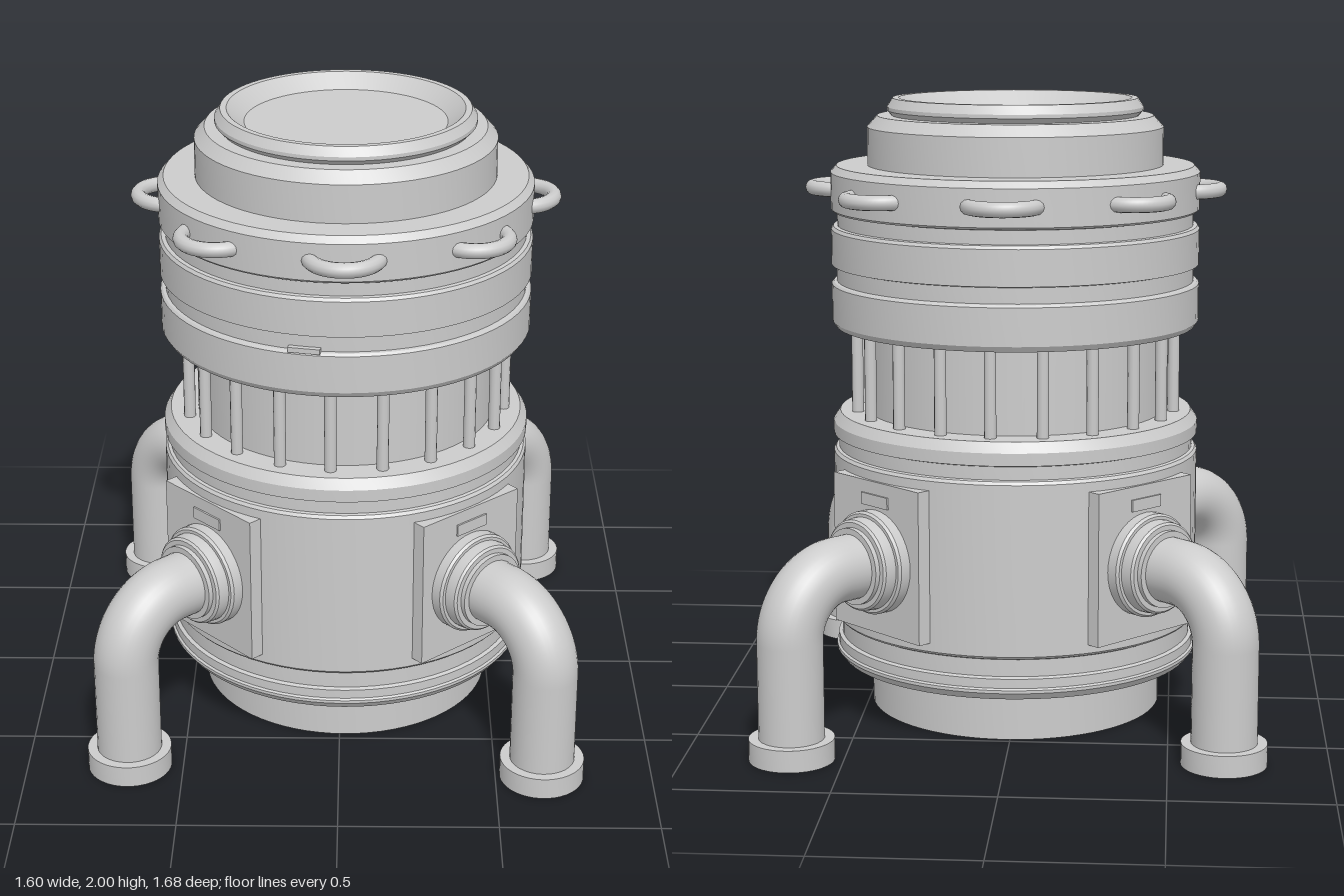
import * as THREE from 'three';
import { toCreasedNormals } from 'three/addons/utils/BufferGeometryUtils.js';

const material = new THREE.MeshStandardMaterial({ color: 0xcccccc });
const openMaterial = new THREE.MeshStandardMaterial({ color: 0xcccccc, side: THREE.DoubleSide });

function addMesh(parent, name, geometry, mat = material) {
  const mesh = new THREE.Mesh(geometry, mat);
  mesh.name = name;
  parent.add(mesh);
  return mesh;
}

// Turned part with crisp edges; points are [radius, height]
function turned(points, segments = 72) {
  const profile = points.map(([r, y]) => new THREE.Vector2(r, y));
  return toCreasedNormals(new THREE.LatheGeometry(profile, segments), 0.35);
}

// Elbow pipe with wall plate, collar and foot, built facing +z
function createPipe() {
  const pipe = new THREE.Group();
  pipe.name = 'pipeLeg';
  const y = 0.57, reach = 0.953, bend = 0.19, k = bend * 0.4477;
  const v = (h, z) => new THREE.Vector3(0, h, z);

  addMesh(pipe, 'wallPlate', new THREE.BoxGeometry(0.41, 0.49, 0.06)).position.set(0, 0.58, 0.575);
  addMesh(pipe, 'platePanel', new THREE.BoxGeometry(0.125, 0.038, 0.012)).position.set(0, 0.765, 0.605);

  const path = new THREE.CurvePath();
  path.add(new THREE.LineCurve3(v(y, 0.58), v(y, reach - bend)));
  path.add(new THREE.CubicBezierCurve3(v(y, reach - bend), v(y, reach - k), v(y - k, reach), v(y - bend, reach)));
  path.add(new THREE.LineCurve3(v(y - bend, reach), v(0.03, reach)));
  addMesh(pipe, 'elbowPipe', new THREE.TubeGeometry(path, 48, 0.103, 32), openMaterial);

  const collar = addMesh(pipe, 'collar', turned([
    [0.165, 0], [0.165, 0.04], [0.158, 0.048], [0.148, 0.048], [0.148, 0.058],
    [0.145, 0.085], [0.138, 0.092], [0.122, 0.092], [0.122, 0.108], [0.1, 0.108],
  ], 40));
  collar.rotation.x = Math.PI / 2;
  collar.position.set(0, y, 0.6);

  const foot = addMesh(pipe, 'footRing', turned([
    [0.098, 0.07], [0.098, 0], [0.134, 0], [0.134, 0.07], [0.098, 0.07],
  ], 40));
  foot.position.z = reach;
  return pipe;
}

export function createModel() {
  const model = new THREE.Group();
  model.name = 'pipedTank';
  const tank = new THREE.Group();
  tank.name = 'tank';
  tank.position.set(0.015, 0, -0.005);
  model.add(tank);

  // Plinth and lower drum
  addMesh(tank, 'plinth', turned([[0, 0], [0.478, 0], [0.478, 0.2]]));
  addMesh(tank, 'lowerDrum', turned([
    [0.4, 0.167], [0.58, 0.167], [0.597, 0.19], [0.597, 0.2], [0.59, 0.205],
    [0.59, 0.235], [0.578, 0.24], [0.578, 0.295], [0.59, 0.3], [0.597, 0.308],
    [0.597, 0.855], [0.59, 0.865], [0.58, 0.868], [0.58, 0.91], [0.597, 0.915],
    [0.597, 0.955], [0.575, 0.987], [0.4, 0.987],
  ]));

  // Recessed neck with a cage of rods
  addMesh(tank, 'neck', new THREE.CylinderGeometry(0.485, 0.485, 0.34, 72, 1, true)).position.y = 1.13;
  const rodGeometry = new THREE.CylinderGeometry(0.019, 0.019, 0.32, 12);
  for (let i = 0; i < 20; i++) {
    const a = THREE.MathUtils.degToRad(-4.7 + i * 18);
    addMesh(tank, 'neckRod', rodGeometry).position.set(0.52 * Math.sin(a), 1.127, 0.52 * Math.cos(a));
  }

  // Upper drum with grooves
  addMesh(tank, 'upperDrum', turned([
    [0.4, 1.267], [0.585, 1.267], [0.597, 1.285], [0.597, 1.405], [0.59, 1.412],
    [0.58, 1.414], [0.58, 1.464], [0.597, 1.468], [0.597, 1.582], [0.59, 1.592],
    [0.577, 1.594], [0.577, 1.638], [0.59, 1.64], [0.597, 1.647], [0.597, 1.765],
    [0.578, 1.786], [0.4, 1.786],
  ]));
  const tab = addMesh(tank, 'drumTab', new THREE.BoxGeometry(0.1, 0.016, 0.02));
  tab.position.set(-0.12, 1.418, 0.575);
  tab.rotation.y = -0.2;

  // Cap with a shallow dished opening
  addMesh(tank, 'cap', turned([
    [0.478, 1.77], [0.478, 1.908], [0.445, 1.944], [0.398, 1.944], [0.413, 1.96],
    [0.413, 1.972], [0.395, 2], [0.375, 2], [0.32, 1.955], [0, 1.955],
  ]));

  // Eight grab handles around the upper rim
  const handleGeometry = new THREE.TorusGeometry(0.107, 0.024, 12, 28, Math.PI);
  for (let i = 0; i < 8; i++) {
    const a = (i * Math.PI) / 4;
    const mount = new THREE.Group();
    mount.name = 'handleMount';
    mount.rotation.y = a;
    const handle = addMesh(mount, 'grabHandle', handleGeometry);
    handle.rotation.x = Math.PI / 2;
    handle.position.set(0, 1.708, 0.553);
    tank.add(mount);
  }

  // Four pipe legs, at slightly uneven angles
  for (const degrees of [41.6, -46.1, -133.7, 137.2]) {
    const pipe = createPipe();
    pipe.rotation.y = THREE.MathUtils.degToRad(degrees);
    tank.add(pipe);
  }
  return model;
}
